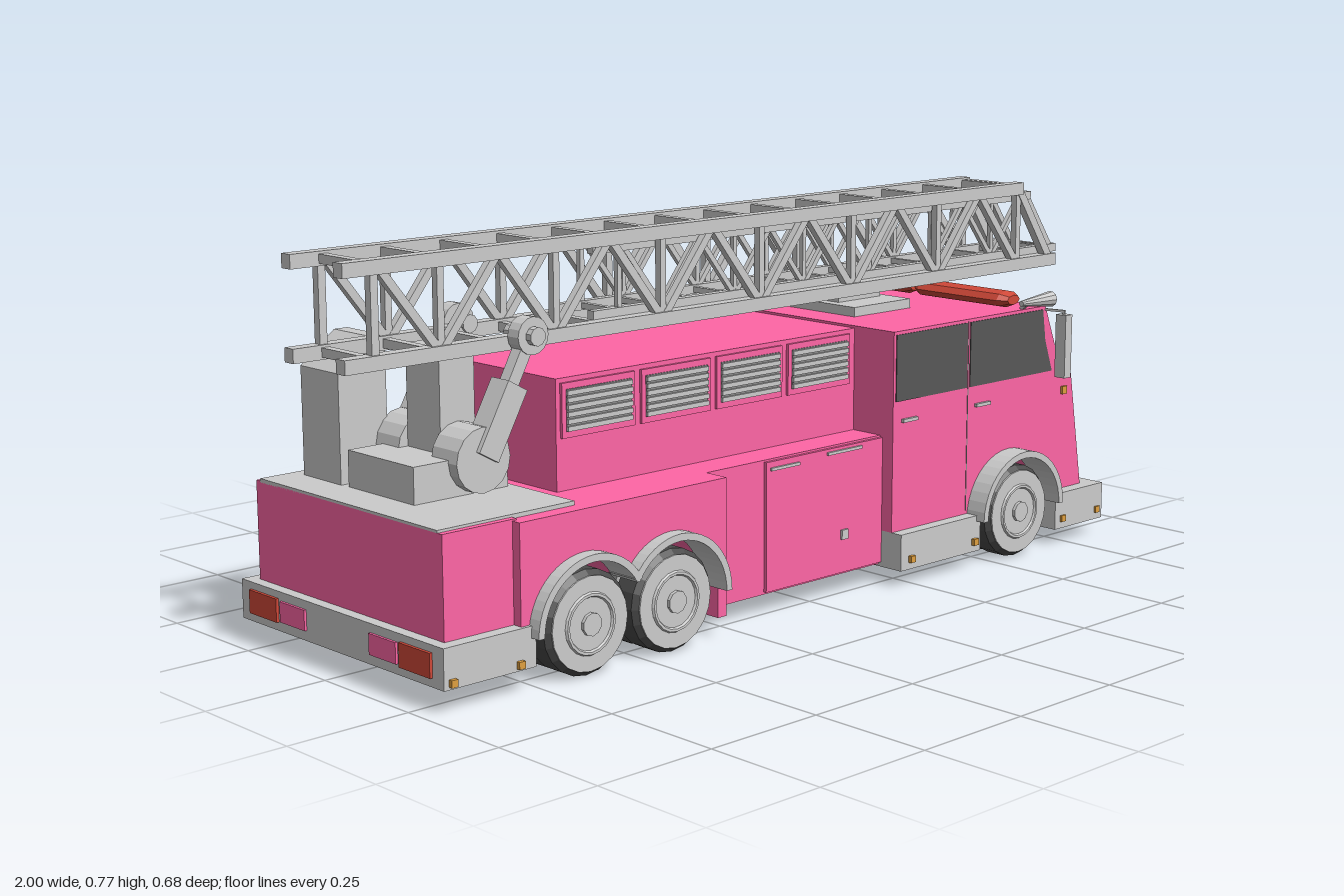
import * as THREE from 'three';

const mat = (color) => new THREE.MeshStandardMaterial({ color, flatShading: true });
const GREY = mat(0xcccccc), PINK = mat(0xff66a6), GLASS = mat(0x585858), RED = mat(0xd04838);
const TYRE = mat(0x4a4a4a), AMBER = mat(0xe0a040), BLUE = mat(0xb8dcf0), DARK = mat(0x8a8a8a);

function add(parent, name, geometry, material, x = 0, y = 0, z = 0) {
  const m = new THREE.Mesh(geometry, material);
  m.name = name;
  m.position.set(x, y, z);
  parent.add(m);
  return m;
}

// Box given by its limits on each axis
function block(parent, name, material, [x0, x1], [y0, y1], [z0, z1]) {
  return add(parent, name, new THREE.BoxGeometry(x1 - x0, y1 - y0, z1 - z0), material,
    (x0 + x1) / 2, (y0 + y1) / 2, (z0 + z1) / 2);
}

// Side profile extruded between two z values
function slab(parent, name, material, shape, z0, z1) {
  const g = new THREE.ExtrudeGeometry(shape, { depth: z1 - z0, bevelEnabled: false, curveSegments: 10 });
  return add(parent, name, g, material, 0, 0, z0);
}
const poly = (pts) => new THREE.Shape(pts.map(([x, y]) => new THREE.Vector2(x, y)));

// Square bar between two points
function bar(parent, name, a, b, t, material = GREY, w = t) {
  const p = new THREE.Vector3(...a), q = new THREE.Vector3(...b);
  const m = add(parent, name, new THREE.BoxGeometry(w, t, p.distanceTo(q)), material);
  m.position.copy(p).add(q).multiplyScalar(0.5);
  m.lookAt(q);
  return m;
}

// Cylinder along z
function drum(parent, name, material, r, z0, z1, x, y, sides = 16) {
  const g = new THREE.CylinderGeometry(r, r, Math.abs(z1 - z0), sides).rotateX(Math.PI / 2);
  return add(parent, name, g, material, x, y, (z0 + z1) / 2);
}

function archTrim(parent, x, from, to, s) {
  const sh = new THREE.Shape();
  sh.absarc(x, 0.1, 0.133, from, to, false);
  sh.absarc(x, 0.1, 0.119, to, from, true);
  slab(parent, 'wheelArch', GREY, sh, s > 0 ? 0.26 : -0.333, s > 0 ? 0.333 : -0.26);
}

function wheel(parent, x, s) {
  const g = new THREE.Group();
  g.name = 'wheel';
  for (const z of [0.172, 0.247]) {
    const pts = [[0.05, 0], [0.088, 0], [0.1, 0.012], [0.1, 0.058], [0.088, 0.07], [0.05, 0.07]];
    const tyre = new THREE.LatheGeometry(pts.map(([r, h]) => new THREE.Vector2(r, h)), 20).rotateX(Math.PI / 2);
    add(g, 'tyre', tyre, TYRE, x, 0.1, s > 0 ? z : -z - 0.07);
  }
  drum(g, 'wheelDisc', GREY, 0.09, s * 0.18, s * 0.318, x, 0.1, 20);
  add(g, 'rimRing', new THREE.TorusGeometry(0.055, 0.005, 6, 20), GREY, x, 0.1, s * 0.318);
  drum(g, 'hub', GREY, 0.022, s * 0.31, s * 0.325, x, 0.1, 10);
  parent.add(g);
}

// Open truss ladder: four rails, zigzag sides and cross rungs
function ladder(parent, name, x0, topEnd, bottomEnd, y0, y1, z, t, step) {
  const g = new THREE.Group();
  g.name = name;
  for (const s of [1, -1]) {
    bar(g, 'topRail', [x0, y1, s * z], [topEnd, y1, s * z], t);
    bar(g, 'bottomRail', [x0, y0, s * z], [bottomEnd, y0, s * z], t);
    bar(g, 'endBrace', [topEnd - 0.01, y1, s * z], [bottomEnd - 0.015, y0, s * z], t * 0.7);
    bar(g, 'rearPost', [x0 + 0.07, y0, s * z], [x0 + 0.07, y1, s * z], t * 0.6);
    let up = true;
    for (let x = x0 + 0.08; x + step < topEnd + 0.02; x += step, up = !up) {
      bar(g, 'brace', [x, up ? y1 : y0, s * z], [x + step, up ? y0 : y1, s * z], t * 0.6);
      if (up) bar(g, 'post', [x + step, y0, s * z], [x + step, y1, s * z], t * 0.55);
    }
  }
  for (let x = x0 + 0.07; x < bottomEnd; x += step) {
    bar(g, 'bottomRung', [x, y0, -z], [x, y0, z], t * 0.65);
    if (x < topEnd) bar(g, 'topRung', [x, y1, -z], [x, y1, z], t * 0.65);
  }
  bar(g, 'topEndRung', [topEnd - 0.01, y1, -z], [topEnd - 0.01, y1, z], t * 0.7);
  bar(g, 'bottomEndRung', [bottomEnd - 0.015, y0, -z], [bottomEnd - 0.015, y0, z], t * 0.7);
  parent.add(g);
}

export function createModel() {
  const truck = new THREE.Group();
  truck.name = 'fireTruck';
  const AX = [-0.64, -0.43, 0.575];
  const cross = Math.acos(0.105 / 0.122);

  // Cab, with the wheel opening cut from the profile
  const cab = poly([[0.205, 0.1], [0.205, 0.53], [0.69, 0.53], [0.75, 0.38], [0.785, 0.37], [0.83, 0.1]]);
  cab.absarc(AX[2], 0.1, 0.122, 0, Math.PI, false);
  slab(truck, 'cab', PINK, cab, -0.285, 0.285);
  block(truck, 'cabFloor', DARK, [0.2, 0.46], [0.06, 0.115], [-0.12, 0.12]);

  // Body sections
  block(truck, 'rearBody', PINK, [-0.945, -0.78], [0.11, 0.315], [-0.285, 0.285]);
  const fairing = poly([[-0.285, 0.04], [-0.285, 0.312], [-0.79, 0.312], [-0.79, 0.1], [-0.762, 0.1]]);
  fairing.absarc(AX[0], 0.1, 0.122, Math.PI, cross, true);
  fairing.absarc(AX[1], 0.1, 0.122, Math.PI - cross, 0, true);
  fairing.lineTo(-0.308, 0.04);
  slab(truck, 'rearFairing', PINK, fairing, -0.305, 0.305);
  block(truck, 'rearFloor', PINK, [-0.79, -0.28], [0.075, 0.3], [-0.165, 0.165]);
  block(truck, 'middleBody', PINK, [-0.29, 0.21], [0.04, 0.312], [-0.25, 0.25]);
  block(truck, 'upperBody', PINK, [-0.595, 0.21], [0.3, 0.525], [-0.175, 0.175]);
  block(truck, 'rearDeck', GREY, [-0.945, -0.635], [0.312, 0.32], [-0.272, 0.272]);

  // Chassis and axles
  for (const s of [1, -1]) block(truck, 'chassisRail', DARK, [-0.9, 0.78], [0.075, 0.115], [s * 0.08 - 0.02, s * 0.08 + 0.02]);
  for (const x of AX) drum(truck, 'axle', DARK, 0.018, -0.24, 0.24, x, 0.1, 8);

  // Bumpers
  block(truck, 'frontBumper', GREY, [0.705, 0.87], [0.035, 0.115], [-0.315, 0.315]);
  block(truck, 'rearBumper', GREY, [-0.968, -0.762], [0.045, 0.122], [-0.312, 0.312]);

  for (const s of [1, -1]) {
    const side = (name, m, xs, ys, a, b) => block(truck, name, m, xs, ys, s > 0 ? [a, b] : [-b, -a]);
    AX.forEach((x) => wheel(truck, x, s));
    archTrim(truck, AX[0], cross, Math.PI, s);
    archTrim(truck, AX[1], 0, Math.PI - cross, s);
    archTrim(truck, AX[2], 0, Math.PI, s);
    side('cabStep', GREY, [0.205, 0.455], [0.035, 0.112], 0.15, 0.312);
    side('sideLocker', PINK, [-0.13, 0.205], [0.045, 0.308], 0.24, 0.257);
    side('lockerHandle', GREY, [-0.12, -0.04], [0.29, 0.296], 0.255, 0.262);
    side('lockerHandle', GREY, [0.04, 0.14], [0.296, 0.302], 0.255, 0.262);
    side('lockerLatch', GREY, [0.082, 0.1], [0.115, 0.135], 0.255, 0.262);

    // Cab windows, handles and door seams
    const z = s > 0 ? 0.284 : -0.287;
    slab(truck, 'rearSideWindow', GLASS, poly([[0.212, 0.385], [0.432, 0.385], [0.432, 0.523], [0.212, 0.523]]), z, z + 0.003);
    slab(truck, 'frontSideWindow', GLASS, poly([[0.442, 0.385], [0.715, 0.385], [0.69, 0.455], [0.68, 0.523], [0.442, 0.523]]), z, z + 0.003);
    for (const x of [0.23, 0.46]) side('doorHandle', GREY, [x, x + 0.045], [0.34, 0.347], 0.283, 0.292);
    side('doorSeam', DARK, [0.436, 0.438], [0.12, 0.525], 0.284, 0.286);

    // Louvre panels along the upper body
    for (let i = 0; i < 4; i++) {
      const x = -0.585 + i * 0.197;
      side('louvreFrame', PINK, [x, x + 0.18], [0.412, 0.516], 0.17, 0.181);
      side('louvreBack', DARK, [x + 0.01, x + 0.17], [0.424, 0.504], 0.172, 0.183);
      for (let j = 0; j < 6; j++) side('louvreSlat', GREY, [x + 0.01, x + 0.17], [0.425 + j * 0.0135, 0.434 + j * 0.0135], 0.175, 0.187);
    }

    // Mirrors, horns and roof beacons
    side('mirror', GREY, [0.69, 0.712], [0.378, 0.515], 0.314, 0.341);
    bar(truck, 'mirrorArm', [0.69, 0.522, s * 0.28], [0.7, 0.522, s * 0.328], 0.005);
    bar(truck, 'mirrorBracket', [0.7, 0.524, s * 0.328], [0.7, 0.51, s * 0.328], 0.005);
    const horn = new THREE.CylinderGeometry(0.017, 0.006, 0.1, 10).rotateZ(-Math.PI / 2);
    add(truck, 'horn', horn, GREY, 0.645, 0.546, s * 0.295);
    bar(truck, 'hornBracket', [0.62, 0.53, s * 0.275], [0.62, 0.546, s * 0.295], 0.008);
    const beacon = new THREE.LatheGeometry([[0, -0.132], [0.02, -0.132], [0.035, -0.112], [0.035, 0.112], [0.02, 0.132], [0, 0.132]]
      .map(([r, h]) => new THREE.Vector2(r, h)), 8).rotateX(Math.PI / 2).scale(1, 0.52, 1);
    add(truck, 'roofBeacon', beacon, RED, 0.6, 0.551, s * 0.138);

    // Marker lamps and rear lights
    for (const zz of [0.11, 0.288]) side('markerLamp', AMBER, [0.868, 0.876], [0.047, 0.062], zz - 0.007, zz + 0.007);
    for (const x of [-0.95, -0.8, 0.235, 0.435, 0.73, 0.85]) side('sideLamp', AMBER, [x - 0.007, x + 0.007], [0.05, 0.064], 0.31, 0.32);
    side('tailLight', RED, [-0.974, -0.965], [0.062, 0.108], 0.19, 0.28);
    side('tailLightInner', PINK, [-0.973, -0.965], [0.065, 0.105], 0.1, 0.18);
    side('cabLamp', AMBER, [0.75, 0.765], [0.328, 0.345], 0.283, 0.291);
  }

  // Nose fittings on the sloping front face
  const nose = new THREE.Group();
  nose.name = 'nose';
  nose.position.set(0.83, 0.1, 0);
  nose.rotation.z = Math.atan2(0.045, 0.27);
  truck.add(nose);
  block(nose, 'grilleBack', DARK, [-0.01, 0.003], [0.015, 0.245], [-0.125, 0.125]);
  for (let i = 0; i < 15; i++) block(nose, 'grilleSlat', GREY, [0, 0.01], [0.022 + i * 0.0148, 0.032 + i * 0.0148], [-0.122, 0.122]);
  block(nose, 'grilleTop', GREY, [-0.005, 0.014], [0.238, 0.249], [-0.135, 0.135]);
  for (const s of [1, -1]) {
    block(nose, 'grilleSide', GREY, [-0.005, 0.014], [0.015, 0.249], [s * 0.13 - 0.006, s * 0.13 + 0.006]);
    block(nose, 'headlightBox', GREY, [-0.005, 0.008], [0.068, 0.112], [s * 0.216 - 0.045, s * 0.216 + 0.045]);
    for (const z of [0.192, 0.232]) {
      add(nose, 'headlight', new THREE.CylinderGeometry(0.017, 0.017, 0.012, 14).rotateZ(Math.PI / 2), BLUE, 0.006, 0.09, s * z);
    }
  }

  // Split windscreen
  const screen = new THREE.Group();
  screen.name = 'windscreen';
  screen.position.set(0.75, 0.38, 0);
  screen.rotation.z = Math.atan2(0.06, 0.15);
  truck.add(screen);
  for (const s of [1, -1]) block(screen, 'windscreenPane', GLASS, [-0.006, 0.003], [0.006, 0.153], [s * 0.136 - 0.131, s * 0.136 + 0.131]);
  block(truck, 'bonnetHandle', GREY, [0.775, 0.791], [0.368, 0.376], [-0.045, 0.045]);

  // Ladder turntable, control cabinet and lifting arms
  block(truck, 'turntable', GREY, [-0.865, -0.65], [0.315, 0.39], [-0.1, 0.1]);
  block(truck, 'turretColumn', GREY, [-0.765, -0.685], [0.38, 0.585], [-0.05, 0.05]);
  slab(truck, 'controlCabinet', GREY, poly([[-0.868, 0.315], [-0.76, 0.315], [-0.76, 0.59], [-0.79, 0.59], [-0.868, 0.53]]), -0.24, -0.12);
  for (const s of [1, -1]) {
    drum(truck, 'armPivot', GREY, 0.062, s * 0.05, s * 0.125, -0.725, 0.385);
    bar(truck, 'liftCylinder', [-0.72, 0.39, s * 0.11], [-0.65, 0.515, s * 0.11], 0.05);
    bar(truck, 'liftRod', [-0.66, 0.5, s * 0.11], [-0.605, 0.6, s * 0.11], 0.026);
    drum(truck, 'liftJoint', GREY, 0.036, s * 0.095, s * 0.126, -0.605, 0.6);
    drum(truck, 'liftPin', GREY, 0.018, s * 0.06, s * 0.14, -0.605, 0.6, 10);
  }

  // Ladder rest and the two telescoping ladder sections
  block(truck, 'ladderRest', GREY, [0.285, 0.46], [0.528, 0.55], [-0.1, 0.1]);
  block(truck, 'ladderRestPad', GREY, [0.31, 0.44], [0.545, 0.58], [-0.03, 0.03]);
  ladder(truck, 'outerLadder', -1, 0.845, 0.965, 0.586, 0.756, 0.079, 0.027, 0.135);
  ladder(truck, 'innerLadder', -0.405, 0.905, 1, 0.607, 0.734, 0.055, 0.018, 0.1);
  return truck;
}
